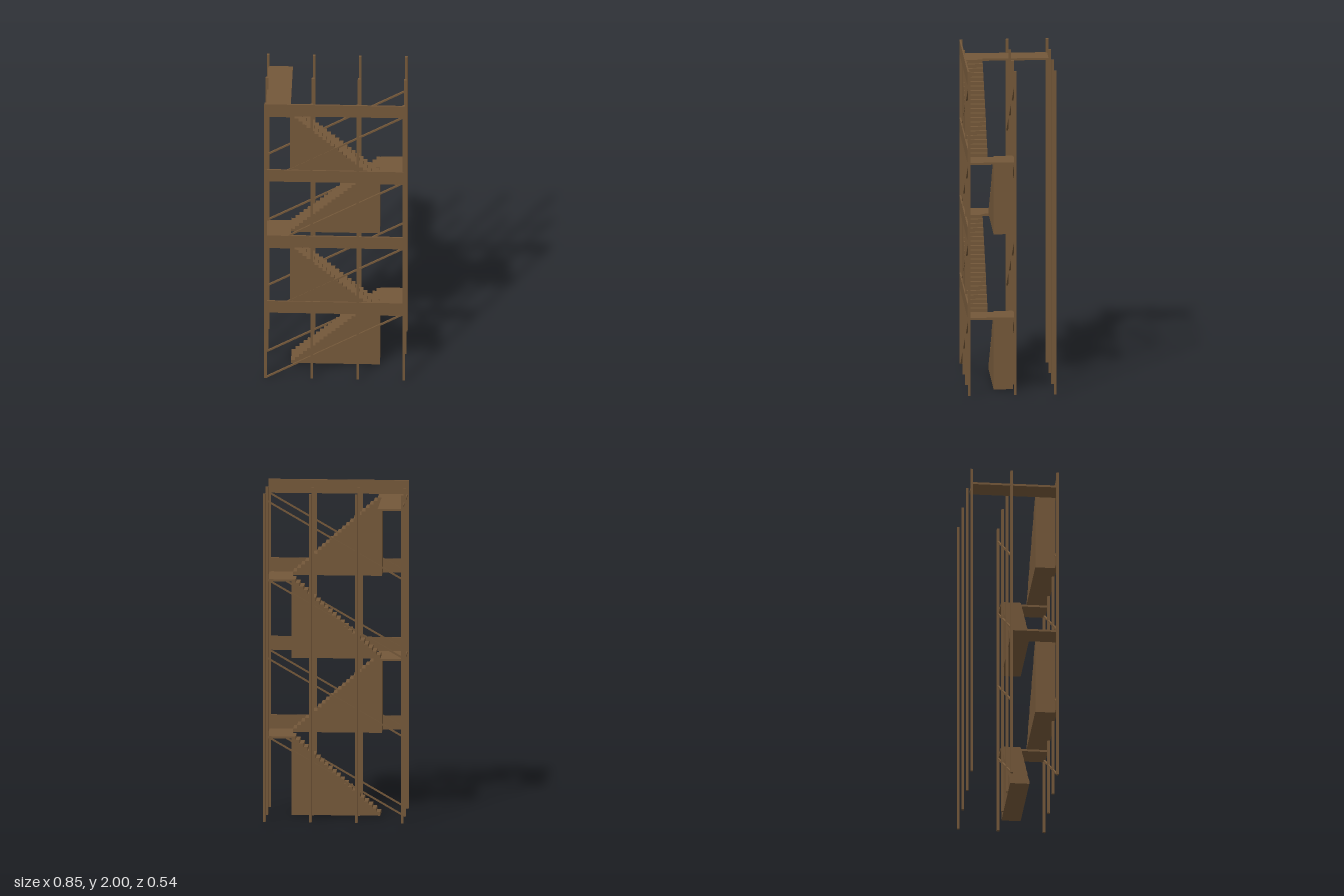
import * as THREE from 'three';

export function createModel() {
  const model = new THREE.Group();
  model.name = 'stairTower';
  const wood = new THREE.MeshStandardMaterial({ color: 0x735739 });
  wood.name = 'brown wood';

  const STOREY = 0.479, STOREYS = 4;
  const HALF = 0.415;                 // outer posts in x
  const STAIR = 0.267;                // half length of a flight
  const FRONT = 0.258, MID = -0.019, BACK = -0.26;

  // Box given by its min and max corners
  function block(name, x0, x1, y0, y1, z0, z1, parent = model) {
    const mesh = new THREE.Mesh(new THREE.BoxGeometry(x1 - x0, y1 - y0, z1 - z0), wood);
    mesh.position.set((x0 + x1) / 2, (y0 + y1) / 2, (z0 + z1) / 2);
    mesh.name = name;
    parent.add(mesh);
    return mesh;
  }

  // Three rows of four posts
  for (const z of [FRONT, MID, BACK]) {
    for (let i = 0; i < 4; i++) {
      const x = -HALF + (i * 2 * HALF) / 3;
      block('post', x - 0.008, x + 0.008, 0, 2, z - 0.008, z + 0.008);
    }
  }

  // Solid flight of steps; dir is the x direction it climbs in
  function flight(base, dir, z0, z1) {
    const group = new THREE.Group();
    group.name = 'stairFlight';
    const count = 22, tread = (2 * STAIR) / count;
    for (let i = 0; i < count; i++) {
      const a = dir * (-STAIR + i * tread), b = a + dir * tread;
      const top = base + ((i + 1) * STOREY) / count;
      block('step', Math.min(a, b), Math.max(a, b), base, top, z0, z1, group);
    }
    model.add(group);
  }

  // Diagonal brace rising to +x
  function brace(base, z) {
    const length = Math.hypot(2 * HALF, STOREY);
    const mesh = new THREE.Mesh(new THREE.BoxGeometry(length, 0.01, 0.01), wood);
    mesh.position.set(0, base + STOREY / 2, z);
    mesh.rotation.z = Math.atan2(STOREY, 2 * HALF);
    mesh.name = 'diagonalBrace';
    model.add(mesh);
  }

  for (let s = 0; s < STOREYS; s++) {
    const base = s * STOREY, top = base + STOREY;
    const toLeft = s % 2 === 0;       // climbs to +x on even storeys

    if (toLeft) flight(base, 1, -0.014, 0.102);
    else flight(base, -1, 0.138, 0.26);

    // Landing; the uppermost one runs on to the back posts
    const zBack = s === STOREYS - 1 ? BACK : MID;
    if (toLeft) block('landing', STAIR, HALF, top - 0.013, top, zBack, 0.26);
    else block('landing', -HALF, -STAIR, top - 0.013, top, zBack, 0.26);

    // Parapet board across the front
    block('parapetBoard', -HALF, HALF, top, top + 0.084, FRONT, 0.268);

    brace(base, FRONT - 0.001);
    brace(base, MID);
  }
  return model;
}
